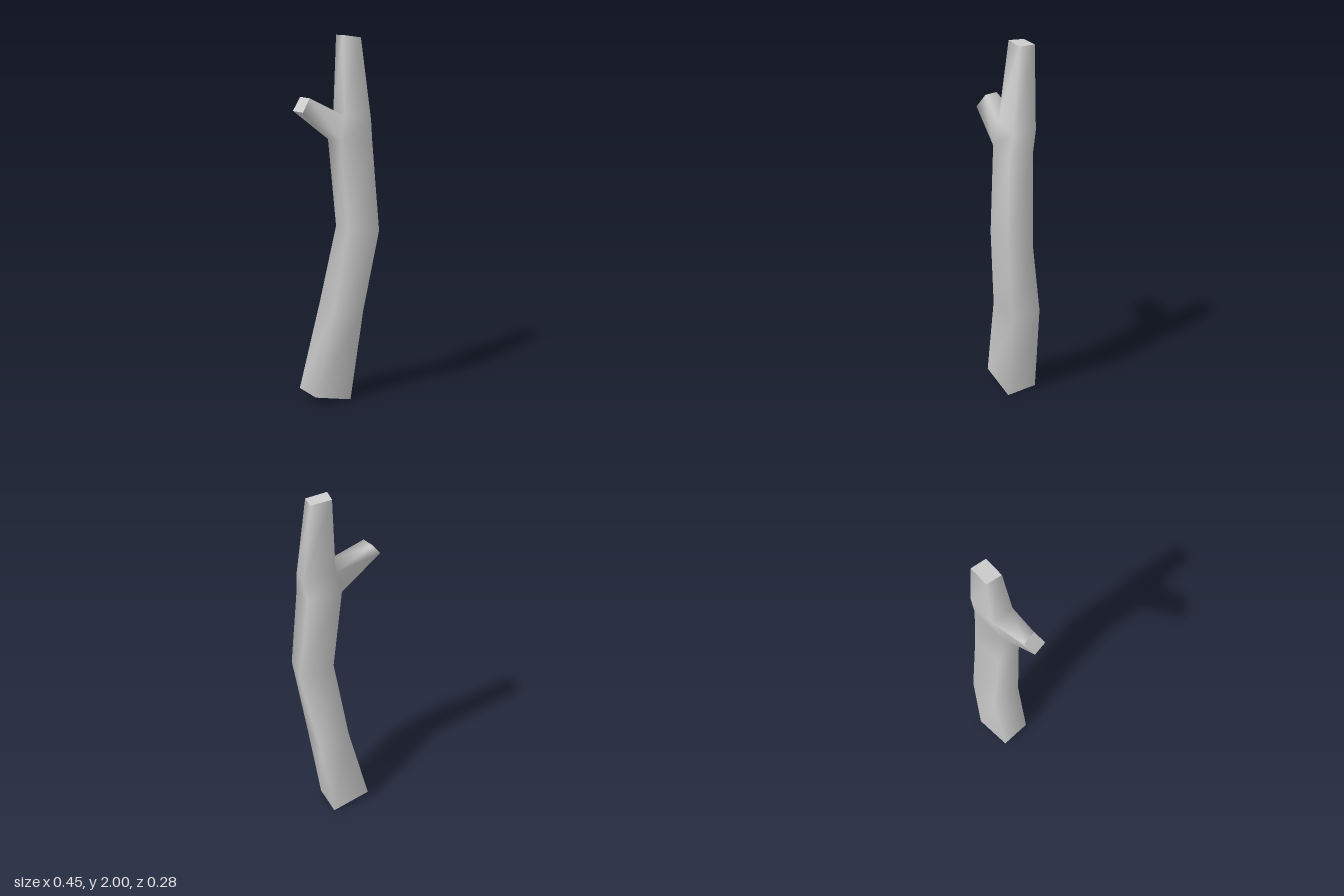
import * as THREE from 'three';

// Cross-sections of the trunk, bottom to top; corners: front right, front left, back left, back right
const RINGS = [
  [[-0.145, 0.06, 0.035], [0.08, 0, 0.05], [0.09, 0.005, -0.133], [-0.133, 0.055, -0.141]],
  [[-0.045, 0.54, 0.06], [0.15, 0.51, 0.07], [0.165, 0.53, -0.1], [-0.015, 0.55, -0.11]],
  [[0.01, 1.0, 0.115], [0.2, 0.97, 0.14], [0.226, 0.96, -0.002], [0.03, 0.99, -0.02]],
  [[-0.012, 1.46, 0.08], [0.17, 1.45, 0.112], [0.182, 1.45, -0.03], [-0.005, 1.46, -0.045]],
  [[0.02, 1.59, 0.07], [0.178, 1.56, 0.09], [0.203, 1.57, -0.03], [0.035, 1.59, -0.053]],
  [[0.04, 2, 0.02], [0.15, 1.987, 0.034], [0.165, 1.99, -0.047], [0.058, 2, -0.06]],
];
// End of the side branch: lower back, lower front, upper front, upper back
const TIP = [[-0.228, 1.62, -0.04], [-0.22, 1.615, 0.04], [-0.165, 1.685, 0.02], [-0.173, 1.688, -0.056]];
const FORK = 3; // trunk segment whose outer face opens into the branch

function makeGeometry(points, index) {
  const geo = new THREE.BufferGeometry();
  geo.setAttribute('position', new THREE.Float32BufferAttribute(points.flat(), 3));
  geo.setIndex(index);
  geo.computeVertexNormals();
  return geo;
}

// Four quads joining one loop of corner indices to the next
function bridge(index, a, b, skip = -1) {
  for (let i = 0; i < 4; i++) {
    if (i === skip) continue;
    const j = (i + 1) % 4;
    index.push(a[i], a[j], b[j], a[i], b[j], b[i]);
  }
}

export function createModel() {
  const group = new THREE.Group();
  group.name = 'treeTrunk';
  const material = new THREE.MeshStandardMaterial({ color: 0xcccccc });
  const add = (name, geo) => {
    const mesh = new THREE.Mesh(geo, material);
    mesh.name = name;
    group.add(mesh);
  };

  // Smooth bark: trunk and branch share the corners around the fork
  const index = [];
  const loop = (r) => [0, 1, 2, 3].map((i) => r * 4 + i);
  for (let r = 0; r < RINGS.length - 1; r++) {
    bridge(index, loop(r), loop(r + 1), r === FORK ? 3 : -1);
  }
  const low = loop(FORK), high = loop(FORK + 1);
  bridge(index, [low[3], low[0], high[0], high[3]], loop(RINGS.length));
  add('bark', makeGeometry([...RINGS.flat(), ...TIP], index));

  // Flat cut ends
  const cap = [0, 1, 2, 0, 2, 3];
  add('trunkTop', makeGeometry(RINGS[RINGS.length - 1], cap));
  add('branchEnd', makeGeometry(TIP, cap));
  add('trunkBase', makeGeometry([...RINGS[0]].reverse(), cap));
  return group;
}
